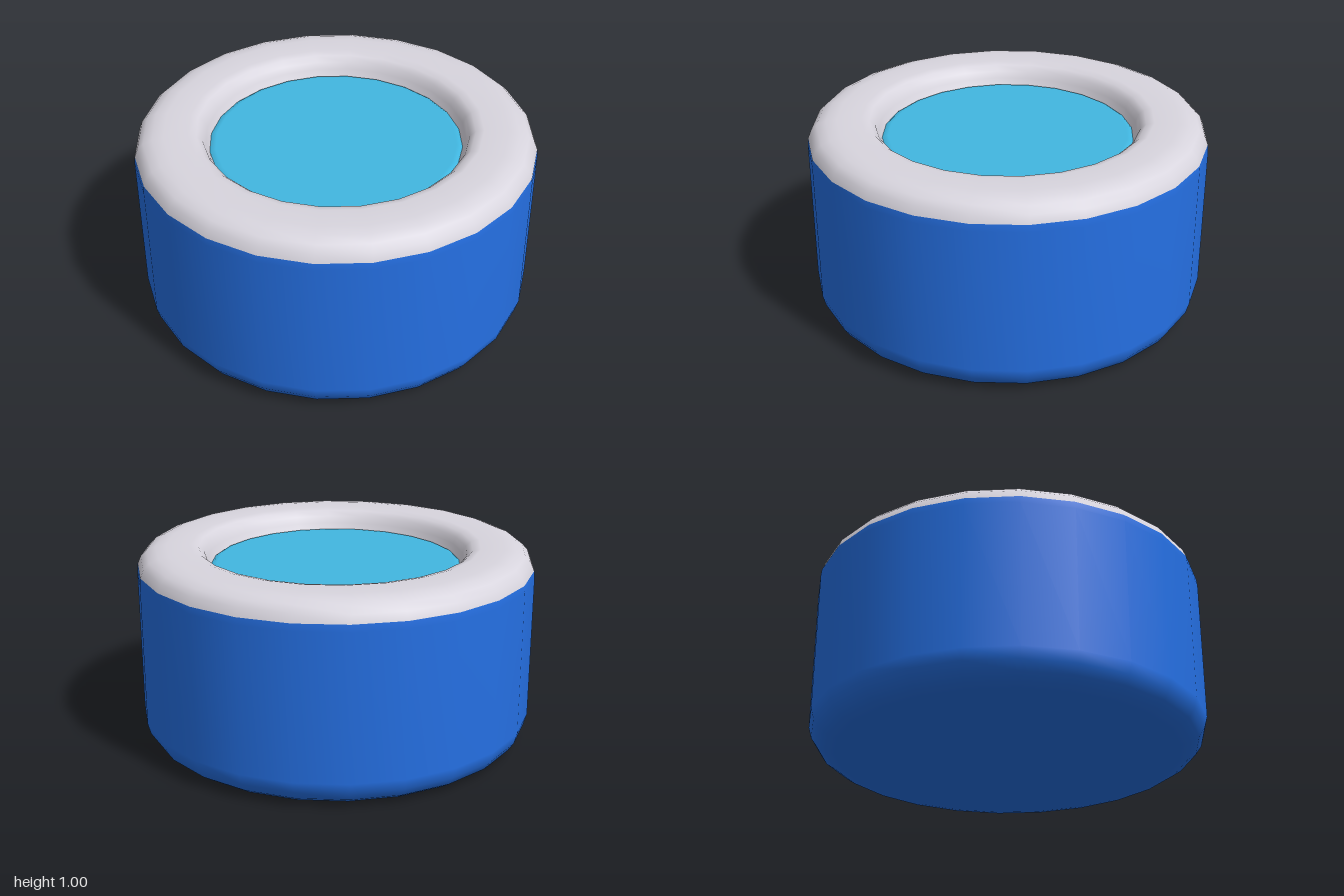
import * as THREE from 'three';

const SIDES = 24;

function material(name, color) {
  const m = new THREE.MeshStandardMaterial({ color });
  m.name = name;
  return m;
}

// Spins a profile of [radius, height] pairs, listed from the outside bottom up and inwards
function turned(name, profile, mat) {
  const points = profile.map(([r, y]) => new THREE.Vector2(r, y));
  const mesh = new THREE.Mesh(new THREE.LatheGeometry(points, SIDES), mat);
  mesh.name = name;
  return mesh;
}

export function createModel() {
  const group = new THREE.Group();
  group.name = 'roundTub';

  const blue = material('blue', 0x2570e4);
  const grey = material('paleGrey', 0xd8d5de);
  const cyan = material('cyan', 0x41b7e1);

  // Tub wall with a rounded foot and flat underside
  group.add(turned('tub', [
    [0, 0], [0.86, 0], [0.91, 0.01], [0.955, 0.04], [0.985, 0.085], [1, 0.14],
    [1, 0.87], [0.996, 0.905],
  ], blue));

  // Soft rim rolling over into the opening
  group.add(turned('rim', [
    [0.996, 0.905], [0.98, 0.945], [0.95, 0.975], [0.905, 0.993], [0.85, 1],
    [0.73, 1], [0.69, 0.99], [0.662, 0.965], [0.648, 0.93], [0.63, 0.895],
  ], grey));

  // Water surface with a slightly rolled edge
  group.add(turned('water', [[0.637, 0.89], [0.618, 0.903], [0.6, 0.904], [0, 0.904]], cyan));

  return group;
}
